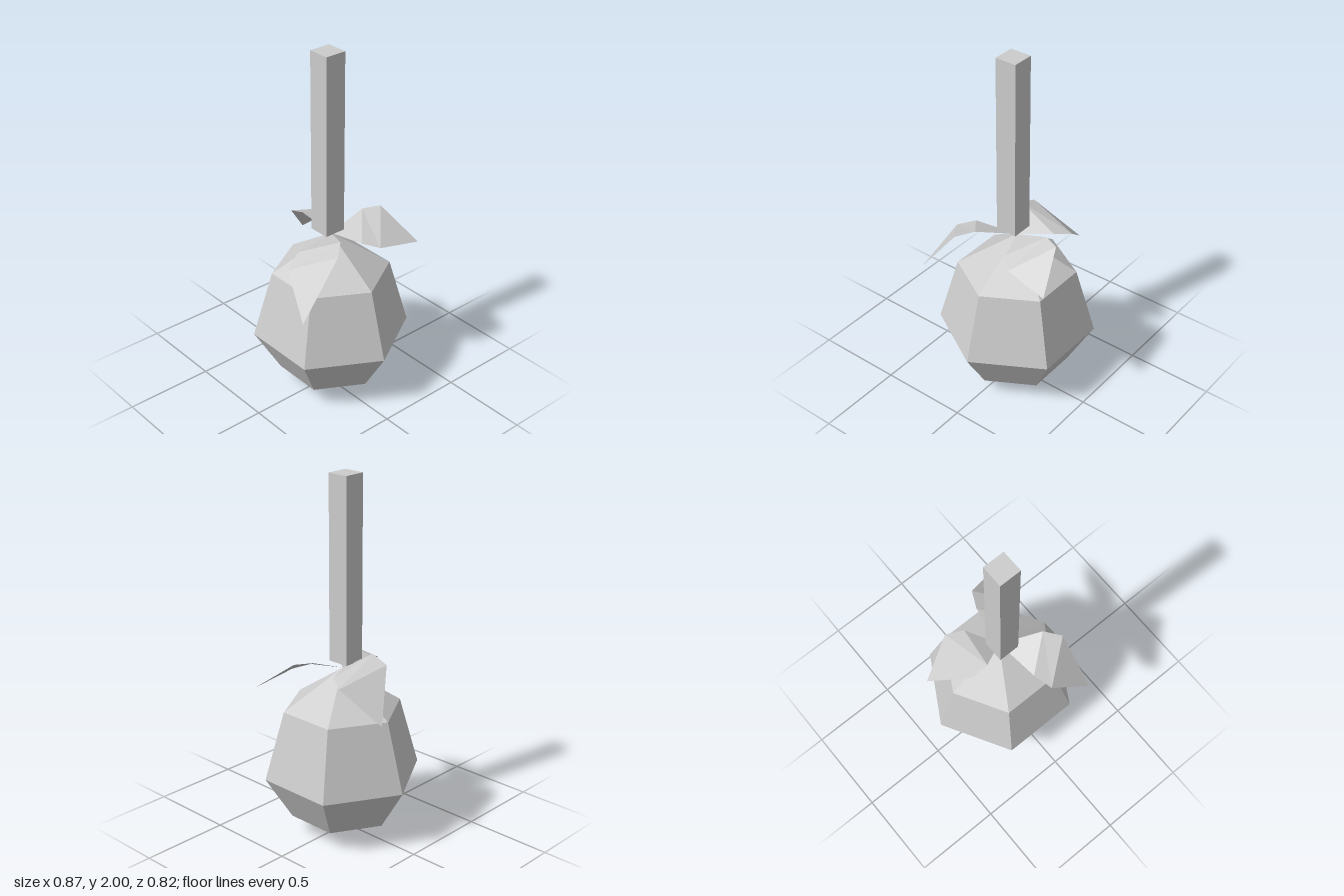
import * as THREE from 'three';

const AXIS_Z = -0.027; // the fruit sits slightly behind the stem

// Folded leaf: a pointed base, two cross folds (a-d, b-c) and a pointed tip.
function makeLeaf(name, [a, b, tip, c, d], crossFromD, material) {
  const base = [0, 0.95, AXIS_Z];
  const middle = crossFromD ? [d, a, b, d, b, c] : [a, b, c, a, c, d];
  const corners = [base, a, d, ...middle, b, tip, c];
  const geometry = new THREE.BufferGeometry();
  geometry.setAttribute('position', new THREE.Float32BufferAttribute(corners.flat(), 3));
  geometry.computeVertexNormals();
  const mesh = new THREE.Mesh(geometry, material);
  mesh.name = name;
  return mesh;
}

export function createModel() {
  const group = new THREE.Group();
  group.name = 'hangingFruit';
  const grey = new THREE.MeshStandardMaterial({ color: 0xcccccc });
  grey.name = 'plainGrey';
  grey.flatShading = true;
  grey.side = THREE.DoubleSide;

  // Six-sided fruit, pointed at both ends, with corners on the x axis
  const profile = [[0, 0], [0.29, 0.105], [0.436, 0.345], [0.327, 0.73], [0, 0.95]]
    .map(([r, y]) => new THREE.Vector2(r, y));
  const fruit = new THREE.Mesh(new THREE.LatheGeometry(profile, 6, Math.PI / 2), grey);
  fruit.name = 'fruit';
  fruit.position.z = AXIS_Z;
  group.add(fruit);

  // Square stem
  const stem = new THREE.Mesh(new THREE.BoxGeometry(0.123, 1.015, 0.123), grey);
  stem.name = 'stem';
  stem.position.set(0, 1.4925, -0.002);
  group.add(stem);

  // Three drooping leaves around the stem
  group.add(makeLeaf('frontLeaf', [
    [0.03, 0.945, 0.23], [0.07, 0.895, 0.333], [0.285, 0.7, 0.41],
    [0.28, 1.003, 0.17], [0.207, 1.03, 0.09]], true, grey));
  group.add(makeLeaf('rightLeaf', [
    [-0.1, 0.97, -0.2], [-0.19, 0.945, -0.255], [-0.403, 0.77, -0.16],
    [-0.248, 1.01, 0.047], [-0.145, 1.045, 0.053]], true, grey));
  group.add(makeLeaf('backLeaf', [
    [0.015, 1.03, -0.235], [0.06, 1.035, -0.33], [0.275, 0.87, -0.412],
    [0.248, 0.915, -0.16], [0.18, 0.94, -0.087]], false, grey));

  return group;
}
